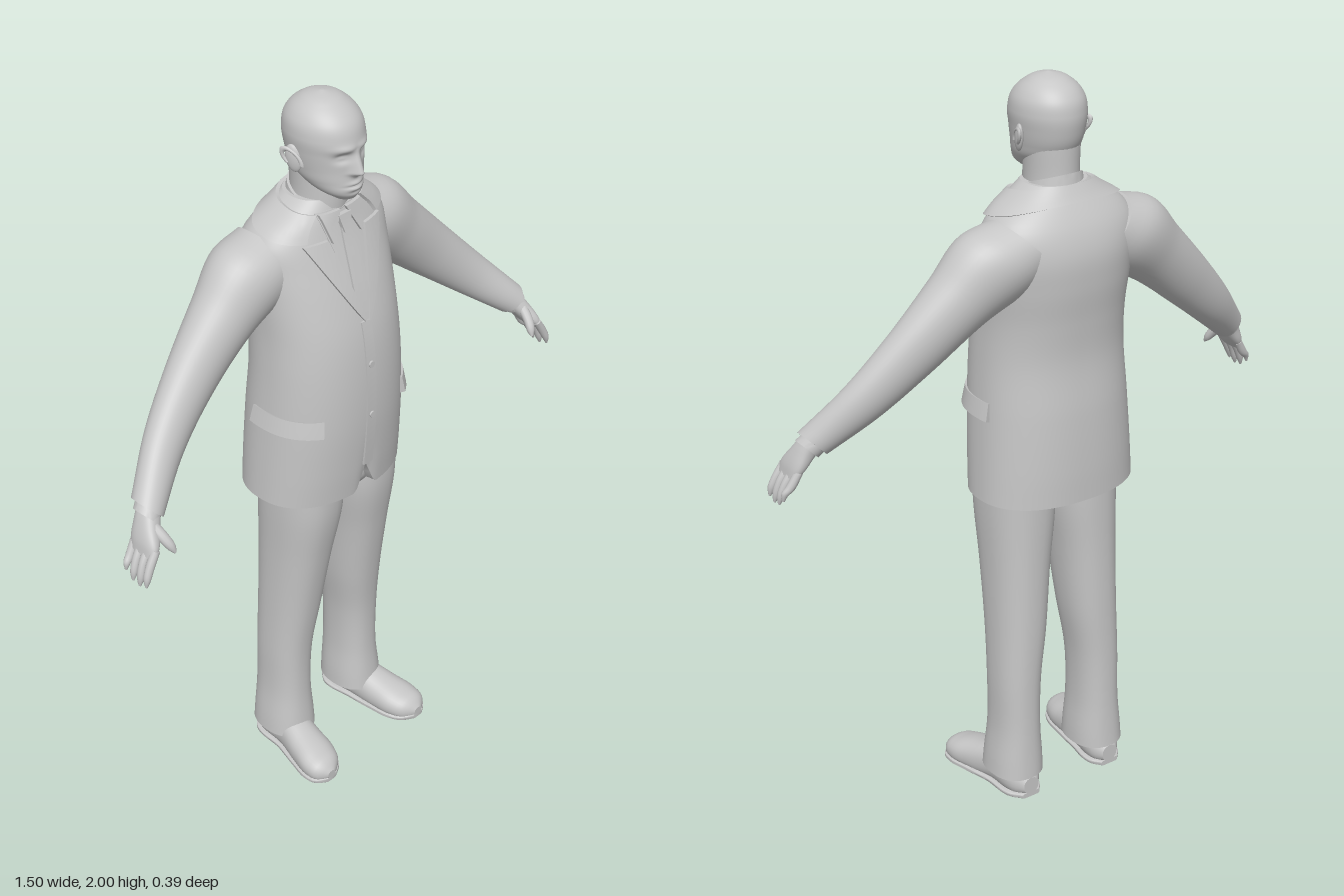
import * as THREE from 'three';
import { toCreasedNormals } from 'three/addons/utils/BufferGeometryUtils.js';

const V3 = (x, y, z) => new THREE.Vector3(x, y, z);
const UP = V3(0, 1, 0), BACK = V3(0, 0, -1);
const spow = (c, p) => Math.sign(c) * Math.pow(Math.abs(c), 2 / p);
const bump = (d, s) => Math.exp(-(d * d) / (s * s));

// smooth lookup of rows [x, y, z, ru, rv], keyed by distance along the axis
function sampler(rows, axis) {
  const keys = rows.map(r => V3(r[0], r[1], r[2]).dot(axis));
  const curve = new THREE.CubicInterpolant(keys, rows.flat(), 5, new Float32Array(5));
  const at = k => Array.from(curve.evaluate(k));
  return { at, start: keys[0], end: keys[keys.length - 1] };
}

// closed form with parallel superellipse sections along a fixed axis
function limb(rows, { axis = UP, hint = BACK, p = 2, sides = 32, steps = 24, warp } = {}) {
  const a = axis.clone().normalize();
  const v = hint.clone().addScaledVector(a, -hint.dot(a)).normalize();
  const u = a.clone().cross(v);
  const s = sampler(rows, a), pos = [], index = [], ends = [];
  for (let i = 0; i <= steps; i++) {
    const [x, y, z, ru, rv] = s.at(THREE.MathUtils.lerp(s.start, s.end, i / steps));
    const ring = [];
    for (let j = 0; j < sides; j++) {
      const t = j / sides * Math.PI * 2;
      const q = V3(x, y, z).addScaledVector(u, ru * spow(Math.cos(t), p)).addScaledVector(v, rv * spow(Math.sin(t), p));
      if (warp) warp(q);
      ring.push(q);
      pos.push(q.x, q.y, q.z);
      if (i < steps) {
        const b = i * sides + j, c = i * sides + (j + 1) % sides;
        index.push(b, b + sides, c, c, b + sides, c + sides);
      }
    }
    if (i === 0 || i === steps) ends.push({ ring, c: V3(x, y, z) });
  }
  // flat caps with their own corners
  ends.forEach(({ ring, c }, e) => {
    const n = pos.length / 3;
    [c, ...ring].forEach(q => pos.push(q.x, q.y, q.z));
    for (let j = 0; j < sides; j++) {
      const b = n + 1 + j, d = n + 1 + (j + 1) % sides;
      index.push(n, e ? d : b, e ? b : d);
    }
  });
  return indexed(pos, index);
}

function indexed(pos, index) {
  const g = new THREE.BufferGeometry();
  g.setAttribute('position', new THREE.Float32BufferAttribute(pos, 3));
  g.setIndex(index);
  return g;
}

// thin raised cloth panel; its border folds down into the surface below
function panel(fn, nu, nv, lift) {
  const pos = [], index = [], w = nu + 3;
  for (let i = -1; i <= nv + 1; i++) for (let j = -1; j <= nu + 1; j++) {
    const edge = i < 0 || j < 0 || i > nv || j > nu;
    const u = THREE.MathUtils.clamp(j / nu, 0, 1), v = THREE.MathUtils.clamp(i / nv, 0, 1);
    const q = fn(u, v, edge ? -0.004 : lift);
    pos.push(q.x, q.y, q.z);
    if (i <= nv && j <= nu) {
      const b = (i + 1) * w + j + 1;
      index.push(b, b + 1, b + w, b + 1, b + w + 1, b + w);
    }
  }
  return indexed(pos, index);
}

// jacket body profile: y, half width, front z, back z
const P = 2.3;
const torsoRows = [
  [0.91, 0.226, 0.14, -0.19], [1.0, 0.221, 0.15, -0.19], [1.15, 0.212, 0.16, -0.184],
  [1.3, 0.203, 0.156, -0.172], [1.4, 0.2, 0.143, -0.178], [1.5, 0.205, 0.116, -0.189],
  [1.58, 0.21, 0.088, -0.189], [1.64, 0.205, 0.066, -0.172], [1.68, 0.172, 0.053, -0.15],
  [1.71, 0.125, 0.045, -0.13], [1.74, 0.083, 0.035, -0.112],
].map(([y, w, f, b]) => [0, y, (f + b) / 2, w, (f - b) / 2]);
const torso = sampler(torsoRows, UP);

// points on the jacket: by angle around it, or straight in from the front
function onJacket(angle, y, lift) {
  const [, , z, w, d] = torso.at(y);
  return V3((w + lift) * spow(Math.cos(angle), P), y + lift * 0.4, z + (d + lift) * spow(Math.sin(angle), P));
}
function onFront(x, y, lift) {
  const [, , z, w, d] = torso.at(y);
  const k = Math.max(0, 1 - Math.pow(Math.min(1, Math.abs(x / w)), P));
  return V3(x, y, z + d * Math.pow(k, 1 / P) + lift);
}
const frontPanel = (inner, outer, y0, y1, lift, nu = 6, nv = 14) => panel((u, v, o) =>
  onFront(THREE.MathUtils.lerp(inner(v), outer(v), u), THREE.MathUtils.lerp(y0, y1, v), o), nu, nv, lift);

// brow, eye sockets, nose and mouth pushed into the front of the head
function face(q) {
  if (q.z < 0.02) return;
  const ax = Math.abs(q.x), y = q.y;
  const nose = y < 1.828 ? bump(y - 1.828, 0.01) : Math.max(0, 1 - (y - 1.828) / 0.06);
  q.z += 0.026 * nose * bump(q.x, 0.011 + 0.005 * nose)
    + 0.006 * bump(y - 1.89, 0.01) * bump(ax - 0.03, 0.03)
    - 0.012 * bump(y - 1.868, 0.012) * bump(ax - 0.034, 0.017)
    + 0.005 * bump(ax - 0.034, 0.012) * bump(y - 1.867, 0.006)
    + 0.005 * bump(y - 1.797, 0.006) * bump(q.x, 0.022)
    + 0.005 * bump(y - 1.784, 0.006) * bump(q.x, 0.02)
    - 0.004 * bump(y - 1.791, 0.003) * bump(q.x, 0.026)
    - 0.004 * bump(y - 1.774, 0.006) * bump(q.x, 0.022);
}

export function createModel() {
  const model = new THREE.Group();
  model.name = 'suitedMan';
  const grey = new THREE.MeshStandardMaterial({ color: 0xc6c6c6, side: THREE.DoubleSide });
  grey.name = 'plain grey';

  function add(name, geo, crease = false) {
    let g = geo;
    if (crease) g = toCreasedNormals(geo, 0.7); else g.computeVertexNormals();
    const mesh = new THREE.Mesh(g, grey);
    mesh.name = name;
    model.add(mesh);
  }
  function pair(name, geo, crease) {
    const m = geo.clone().scale(-1, 1, 1), ix = Array.from(m.index.array);
    for (let i = 0; i < ix.length; i += 3) [ix[i], ix[i + 1]] = [ix[i + 1], ix[i]];
    m.setIndex(ix);
    add(name + 'Left', geo, crease);
    add(name + 'Right', m, crease);
  }

  // head and neck
  const headRows = [
    [1.752, 0.028, 0.088, 0.03], [1.77, 0.053, 0.1, -0.03], [1.8, 0.073, 0.098, -0.085],
    [1.83, 0.081, 0.096, -0.106], [1.87, 0.088, 0.097, -0.118], [1.91, 0.092, 0.096, -0.121],
    [1.95, 0.083, 0.08, -0.11], [1.98, 0.057, 0.045, -0.08], [1.994, 0.031, 0.016, -0.05], [2.0, 0.004, -0.012, -0.02],
  ].map(([y, w, f, b]) => [0, y, (f + b) / 2, w, (f - b) / 2]);
  add('head', limb(headRows, { sides: 112, steps: 90, warp: face }));
  add('neck', limb([[0, 1.66, -0.035, 0.075, 0.078], [0, 1.74, -0.028, 0.068, 0.077], [0, 1.83, -0.03, 0.07, 0.075]]));
  const ear = new THREE.SphereGeometry(1, 16, 12).scale(0.01, 0.036, 0.021).rotateX(-0.2).rotateY(-0.35).translate(0.091, 1.852, -0.022);
  pair('ear', ear);
  pair('earRim', new THREE.TorusGeometry(0.02, 0.005, 8, 20, 4.4).scale(0.8, 1.5, 1).rotateZ(-0.9)
    .rotateY(Math.PI / 2 - 0.35).translate(0.097, 1.854, -0.022));

  // jacket body with a cut-away at the front hem
  add('jacketBody', limb(torsoRows, {
    p: P, sides: 128, steps: 56, warp: q => {
      if (q.z > 0) q.y += 0.08 * Math.max(0, 1 - Math.abs(q.x) / 0.035) * Math.max(0, 1 - (q.y - 0.91) / 0.2);
    },
  }));
  add('jacketFrontOverlap', frontPanel(() => -0.02, () => 0.012, 1.0, 1.43, 0.004, 3, 16), true);
  for (const y of [1.16, 1.31]) {
    const c = onFront(-0.004, y, 0.005);
    add('jacketButton', new THREE.CylinderGeometry(0.009, 0.009, 0.006, 16).rotateX(Math.PI / 2).translate(c.x, c.y, c.z), true);
  }
  pair('pocketFlap', panel((u, v, o) =>
    onJacket(THREE.MathUtils.lerp(-0.2, 0.9, u), 1.185 - 0.05 * v, o > 0 ? o + 0.008 * v : o), 14, 4, 0.005), true);

  // shirt, tie, lapels and collars
  const opening = v => 0.004 + 0.07 * v;
  add('shirtFront', frontPanel(v => -opening(v), opening, 1.43, 1.715, 0.002, 10), true);
  add('tie', frontPanel(v => -Math.min(opening(v), 0.03 - 0.015 * v), v => Math.min(opening(v), 0.03 - 0.015 * v), 1.435, 1.665, 0.008), true);
  add('tieKnot', frontPanel(v => -0.012 - 0.009 * v, v => 0.012 + 0.009 * v, 1.655, 1.7, 0.014, 4, 4), true);
  pair('shirtCollarPoint', frontPanel(v => 0.045 - 0.035 * v, v => 0.052 + 0.018 * v, 1.64, 1.712, 0.011, 5, 6), true);
  pair('lapel', frontPanel(v => 0.003 + 0.06 * v, v => 0.008 + 0.122 * Math.pow(v, 0.9), 1.43, 1.65, 0.009, 8), true);
  const slant = V3(0, 0.94, 0.34);
  add('shirtCollar', limb([[0, 1.67, -0.037, 0.085, 0.088], [0, 1.738, -0.03, 0.075, 0.083]], { axis: slant, steps: 4, sides: 48 }), true);
  add('jacketCollar', panel((u, v, o) => {
    const a = THREE.MathUtils.lerp(1.0, -Math.PI - 1.0, u), c = (Math.sin(a) + 1) / 2;
    return onJacket(a, THREE.MathUtils.lerp(1.7 - 0.05 * c, 1.74 - 0.03 * c, v), o);
  }, 48, 4, 0.008), true);

  // sleeves and shirt cuffs
  const arm = V3(0.72, -0.69, 0);
  pair('sleeve', limb([
    [0.12, 1.6, -0.07, 0.098, 0.095], [0.2, 1.565, -0.068, 0.112, 0.1], [0.3, 1.49, -0.06, 0.091, 0.08],
    [0.43, 1.375, -0.042, 0.075, 0.06], [0.55, 1.265, -0.008, 0.06, 0.05], [0.66, 1.163, 0.05, 0.044, 0.046],
  ], { axis: arm, sides: 40, steps: 36 }));
  pair('shirtCuff', limb([[0.645, 1.175, 0.045, 0.034, 0.037], [0.672, 1.148, 0.058, 0.034, 0.037]], { axis: arm, steps: 3 }), true);

  // hands
  const hand = V3(0.45, -0.89, 0);
  pair('palm', limb([
    [0.652, 1.178, 0.05, 0.026, 0.028], [0.677, 1.138, 0.067, 0.025, 0.036],
    [0.7, 1.1, 0.083, 0.019, 0.045], [0.714, 1.075, 0.09, 0.01, 0.04],
  ], { axis: hand, p: 2.4 }));
  for (let i = 0; i < 4; i++) {
    const z = 0.122 - i * 0.024, drop = [0.008, 0, 0.004, 0.022][i];
    pair('finger' + (i + 1), limb([
      [0.702, 1.095, z, 0.011, 0.012], [0.727, 1.055, z + 0.004, 0.0115, 0.011],
      [0.74, 1.02 + drop, z + 0.007, 0.009, 0.009], [0.744, 1.002 + drop, z + 0.008, 0.003, 0.003],
    ], { axis: hand, sides: 12, steps: 12 }));
  }
  pair('thumb', limb([
    [0.678, 1.14, 0.085, 0.014, 0.014], [0.67, 1.112, 0.118, 0.014, 0.013],
    [0.662, 1.088, 0.137, 0.01, 0.01], [0.659, 1.076, 0.144, 0.003, 0.003],
  ], { axis: V3(-0.2, -0.7, 0.7), sides: 12, steps: 12 }));

  // trousers
  add('trouserSeat', limb([[0, 0.89, 0, 0.17, 0.095], [0, 0.92, 0, 0.19, 0.115], [0, 0.99, 0, 0.19, 0.12]], { p: 2.5, steps: 8 }));
  pair('trouserLeg', limb([
    [0.136, 0.06, -0.038, 0.075, 0.09], [0.135, 0.1, -0.039, 0.073, 0.087], [0.133, 0.2, -0.041, 0.064, 0.081],
    [0.13, 0.35, -0.039, 0.065, 0.081], [0.118, 0.5, -0.03, 0.074, 0.09], [0.108, 0.7, -0.014, 0.084, 0.105],
    [0.1, 0.85, -0.002, 0.096, 0.118], [0.099, 0.96, 0, 0.098, 0.12],
  ], { p: 2.3, sides: 40, steps: 40 }));

  // shoes, toes turned slightly out
  const shoe = [
    [0.135, 0.035, -0.128, 0.024, 0.025], [0.137, 0.045, -0.1, 0.046, 0.048], [0.146, 0.05, 0, 0.05, 0.06],
    [0.16, 0.037, 0.08, 0.057, 0.052], [0.171, 0.03, 0.14, 0.058, 0.041], [0.177, 0.025, 0.178, 0.041, 0.03],
    [0.179, 0.022, 0.195, 0.014, 0.012],
  ];
  const along = { axis: V3(0, 0, 1), hint: V3(0, -1, 0) };
  pair('shoe', limb(shoe, { ...along, p: 2.2, steps: 36, warp: q => { q.y = Math.max(q.y, 0.01); } }));
  pair('shoeSole', limb(shoe.map(([x, , z, w]) => [x, 0.0075, z, w + 0.003, 0.0075]), { ...along, p: 6, steps: 36 }), true);

  return model;
}
